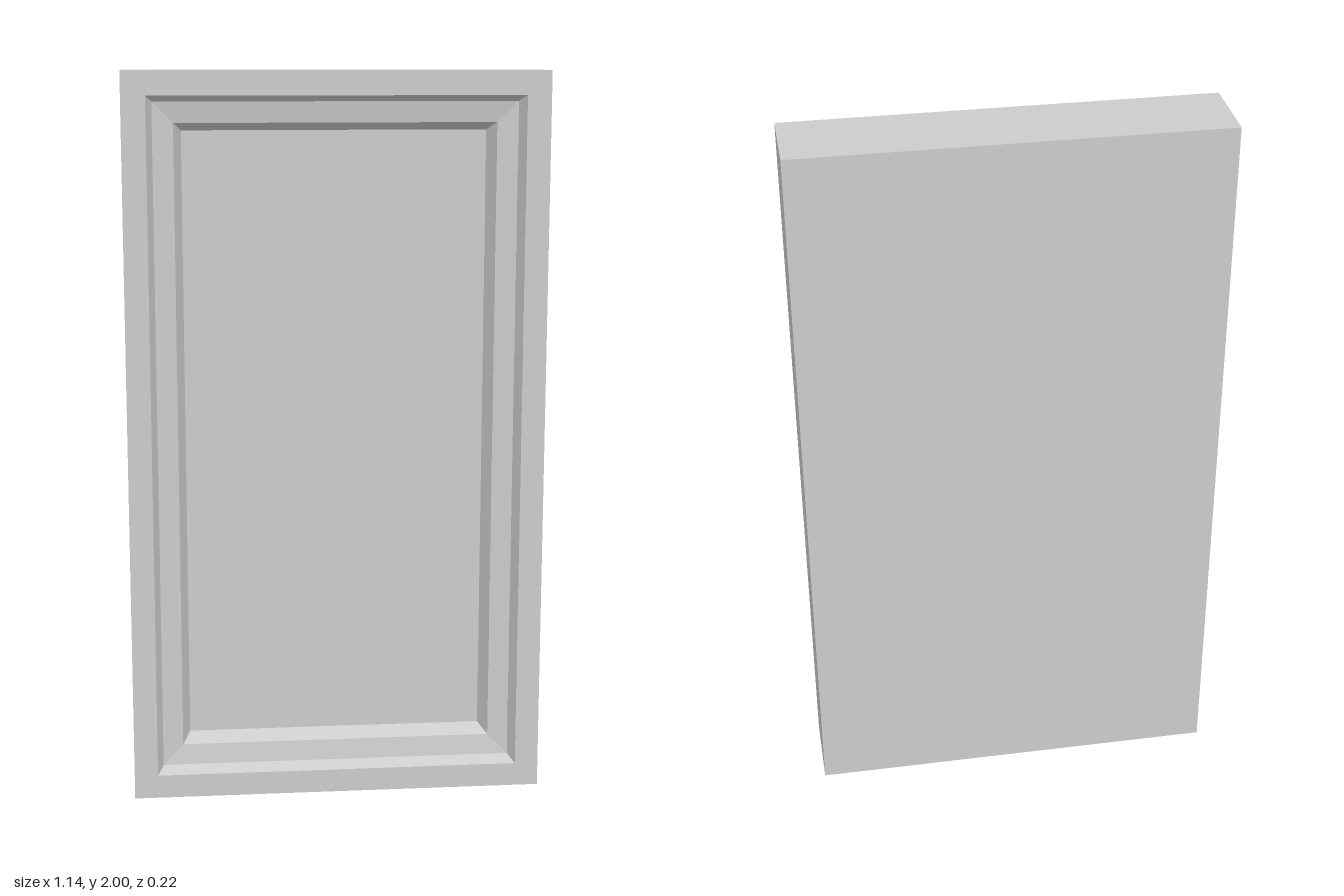
import * as THREE from 'three';

const W = 1.14, H = 2, D = 0.22;

// Four corners of a rectangle inset from the outline, counter-clockwise from the front
function corners([inset, z]) {
  const x = W / 2 - inset, b = inset, t = H - inset;
  return [[-x, b, z], [x, b, z], [x, t, z], [-x, t, z]];
}

function quad(out, a, b, c, d) {
  out.push(...a, ...b, ...c, ...a, ...c, ...d);
}

// Mitred frame surface running through a list of [inset, z] steps
function loft(profile) {
  const out = [];
  for (let s = 0; s < profile.length - 1; s++) {
    const p = corners(profile[s]), q = corners(profile[s + 1]);
    for (let i = 0; i < 4; i++) {
      const j = (i + 1) % 4;
      quad(out, p[i], p[j], q[j], q[i]);
    }
  }
  return out;
}

function makeMesh(name, positions) {
  const geometry = new THREE.BufferGeometry();
  geometry.setAttribute('position', new THREE.Float32BufferAttribute(positions, 3));
  geometry.computeVertexNormals();
  const mesh = new THREE.Mesh(geometry, new THREE.MeshStandardMaterial({ color: 0xcccccc, flatShading: true }));
  mesh.name = name;
  return mesh;
}

export function createModel() {
  const group = new THREE.Group();
  group.name = 'panelledSlab';
  const front = D / 2, back = -D / 2;
  const rim = [0.065, front];
  const ledgeOuter = [0.081, front - 0.04];
  const ledgeInner = [0.137, front - 0.049];
  const panelEdge = [0.158, front - 0.1];

  // Outer sides and flat front border
  group.add(makeMesh('outerFrame', loft([[0, back], [0, front], rim])));

  // Stepped moulding: steep bevel, gently sloped ledge, steep bevel
  group.add(makeMesh('moulding', loft([rim, ledgeOuter, ledgeInner, panelEdge])));

  // Recessed panel
  const panel = [];
  quad(panel, ...corners(panelEdge));
  group.add(makeMesh('recessedPanel', panel));

  // Flat back
  const backFace = [];
  quad(backFace, ...corners([0, back]).reverse());
  group.add(makeMesh('backFace', backFace));

  return group;
}
